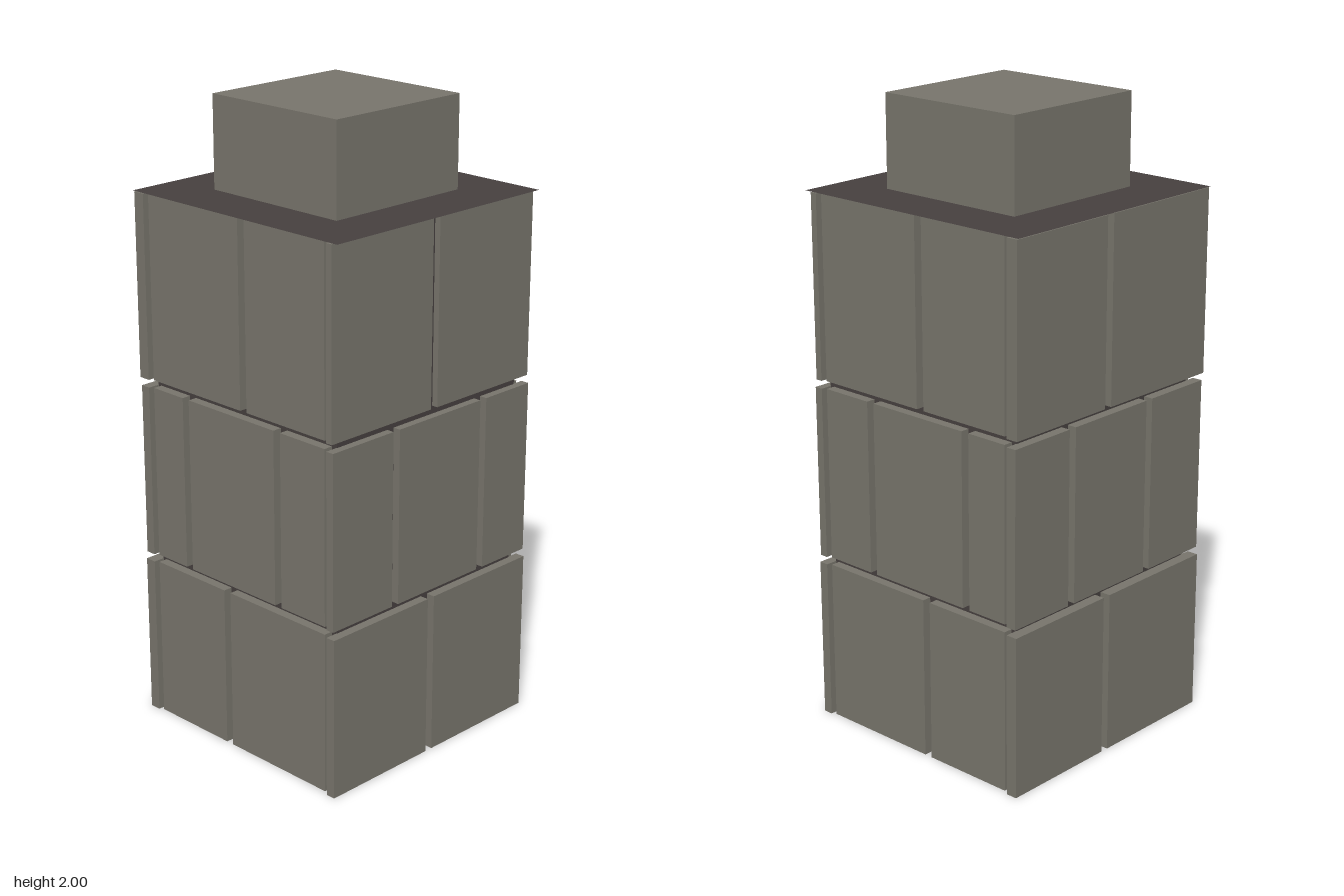
import * as THREE from 'three';

export function createModel() {
  const model = new THREE.Group();
  const stone = new THREE.MeshStandardMaterial({ color: 0x78756c });
  stone.name = 'stone';
  const mortar = new THREE.MeshStandardMaterial({ color: 0x46403f, side: THREE.DoubleSide });
  mortar.name = 'mortar';

  const add = (name, geometry, material, x, y, z, parent = model) => {
    const mesh = new THREE.Mesh(geometry, material);
    mesh.name = name;
    mesh.position.set(x, y, z);
    parent.add(mesh);
    return mesh;
  };

  // Hollow core, open at the foot: four inward-visible walls
  const CORE = 0.385, TOP = 1.71;
  for (let i = 0; i < 4; i++) {
    const a = i * Math.PI / 2;
    add('coreWall', new THREE.PlaneGeometry(2 * CORE, TOP), mortar,
      Math.sin(a) * CORE, TOP / 2, Math.cos(a) * CORE).rotation.y = a;
  }

  // Flat ledge and the square cap block on top of it
  add('ledge', new THREE.PlaneGeometry(0.852, 0.852), mortar, 0, TOP, 0).rotation.x = -Math.PI / 2;
  add('capBlock', new THREE.BoxGeometry(0.51, 0.288, 0.51), stone, 0, 1.856, 0);

  // Facing slabs: three courses per side, split at the listed joints
  const courses = [[0, 0.52], [0.545, 1.1], [1.125, 1.707]];
  const GAP = 0.027;
  const sides = [
    { name: 'front', axis: 'z', sign: 1, from: -0.37, to: 0.365, outer: [0.415, 0.415, 0.415],
      joints: [[-0.055], [-0.225, 0.17], [0.03]] },
    { name: 'back', axis: 'z', sign: -1, from: -0.365, to: 0.37, outer: [0.415, 0.415, 0.415],
      joints: [[-0.045], [-0.21, 0.18], [-0.03]] },
    { name: 'left', axis: 'x', sign: 1, from: -0.424, to: 0.426, outer: [0.414, 0.41, 0.405],
      joints: [[0.01], [-0.215, 0.165], [0]] },
    { name: 'right', axis: 'x', sign: -1, from: -0.426, to: 0.424, outer: [0.42, 0.416, 0.422],
      joints: [[-0.02], [-0.18, 0.17], [-0.03]] },
  ];
  for (const side of sides) {
    const group = new THREE.Group();
    group.name = side.name + 'Facing';
    model.add(group);
    courses.forEach(([y0, y1], row) => {
      const inner = CORE - 0.002, depth = side.outer[row] - inner;
      const mid = side.sign * (inner + depth / 2);
      const cuts = side.joints[row];
      for (let i = 0; i <= cuts.length; i++) {
        const a = i === 0 ? side.from : cuts[i - 1] + GAP / 2;
        const b = i === cuts.length ? side.to : cuts[i] - GAP / 2;
        const along = (a + b) / 2, y = (y0 + y1) / 2;
        if (side.axis === 'z') {
          add('slab', new THREE.BoxGeometry(b - a, y1 - y0, depth), stone, along, y, mid, group);
        } else {
          add('slab', new THREE.BoxGeometry(depth, y1 - y0, b - a), stone, mid, y, along, group);
        }
      }
    });
  }
  return model;
}
